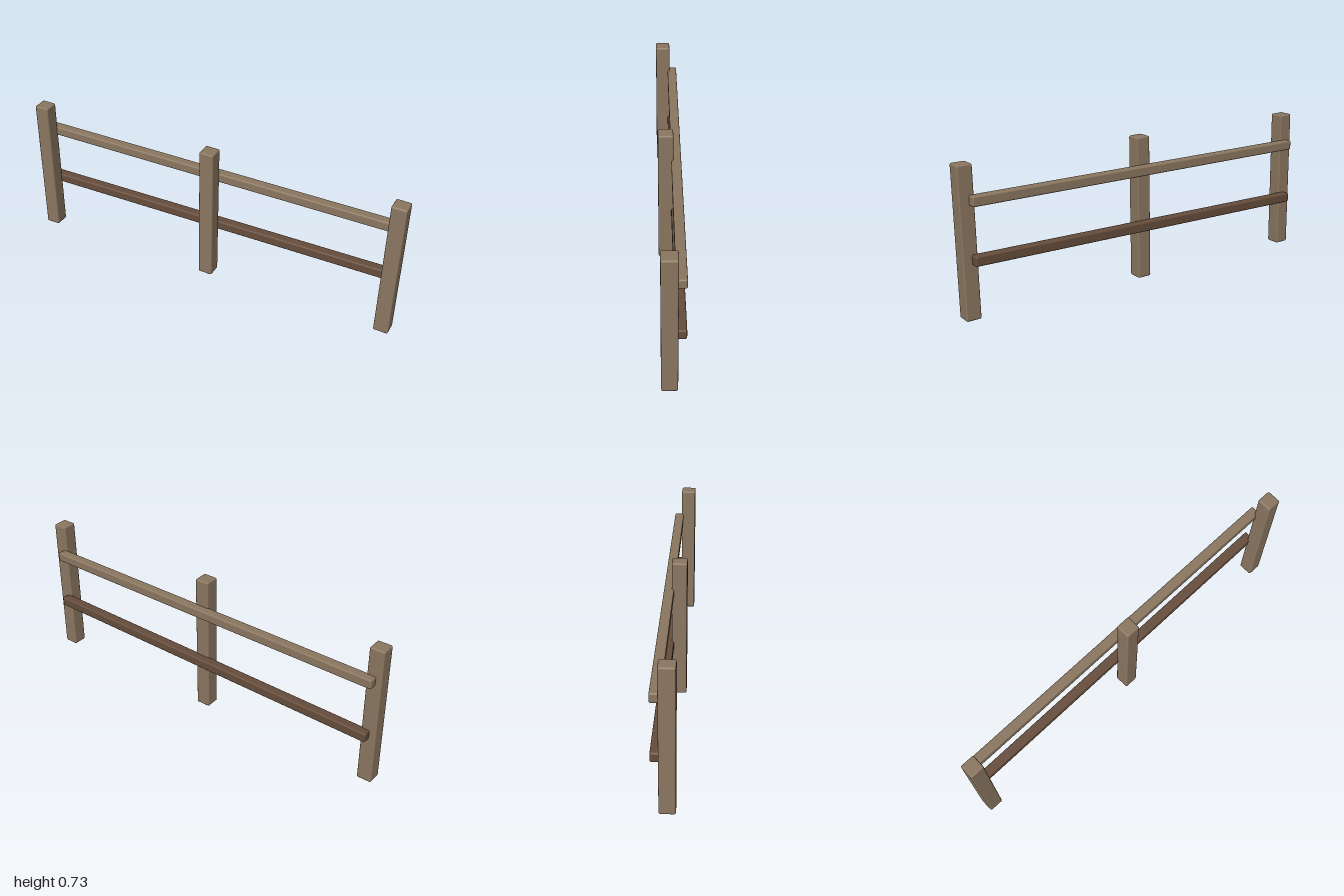
import * as THREE from 'three';
import { RoundedBoxGeometry } from 'three/addons/geometries/RoundedBoxGeometry.js';

export function createModel() {
  const group = new THREE.Group();
  const paleWood = new THREE.MeshStandardMaterial({ color: 0x8b7760 });
  paleWood.name = 'paleWood';
  const darkWood = new THREE.MeshStandardMaterial({ color: 0x664d3b });
  darkWood.name = 'darkWood';

  // Softly rounded timber, tilted in the front plane
  function timber(name, size, position, tilt, material) {
    const mesh = new THREE.Mesh(new RoundedBoxGeometry(...size, 2, 0.008), material);
    mesh.name = name;
    mesh.position.set(...position);
    mesh.rotation.z = tilt;
    group.add(mesh);
  }

  // Three posts, all leaning slightly to the same side
  const names = ['rightPost', 'middlePost', 'leftPost'];
  names.forEach((name, i) => {
    timber(name, [0.075, 0.733, 0.075], [(i - 1) * 0.9575, 0.367, 0.0195], -0.0125, paleWood);
  });

  // Two rails set into the back of the posts, the lower one sloping
  const railSize = [1.912, 0.0486, 0.0486];
  timber('upperRail', railSize, [-0.007, 0.57, -0.032], 0, paleWood);
  timber('lowerRail', railSize, [-0.007, 0.2825, -0.032], 0.0105, darkWood);

  return group;
}
